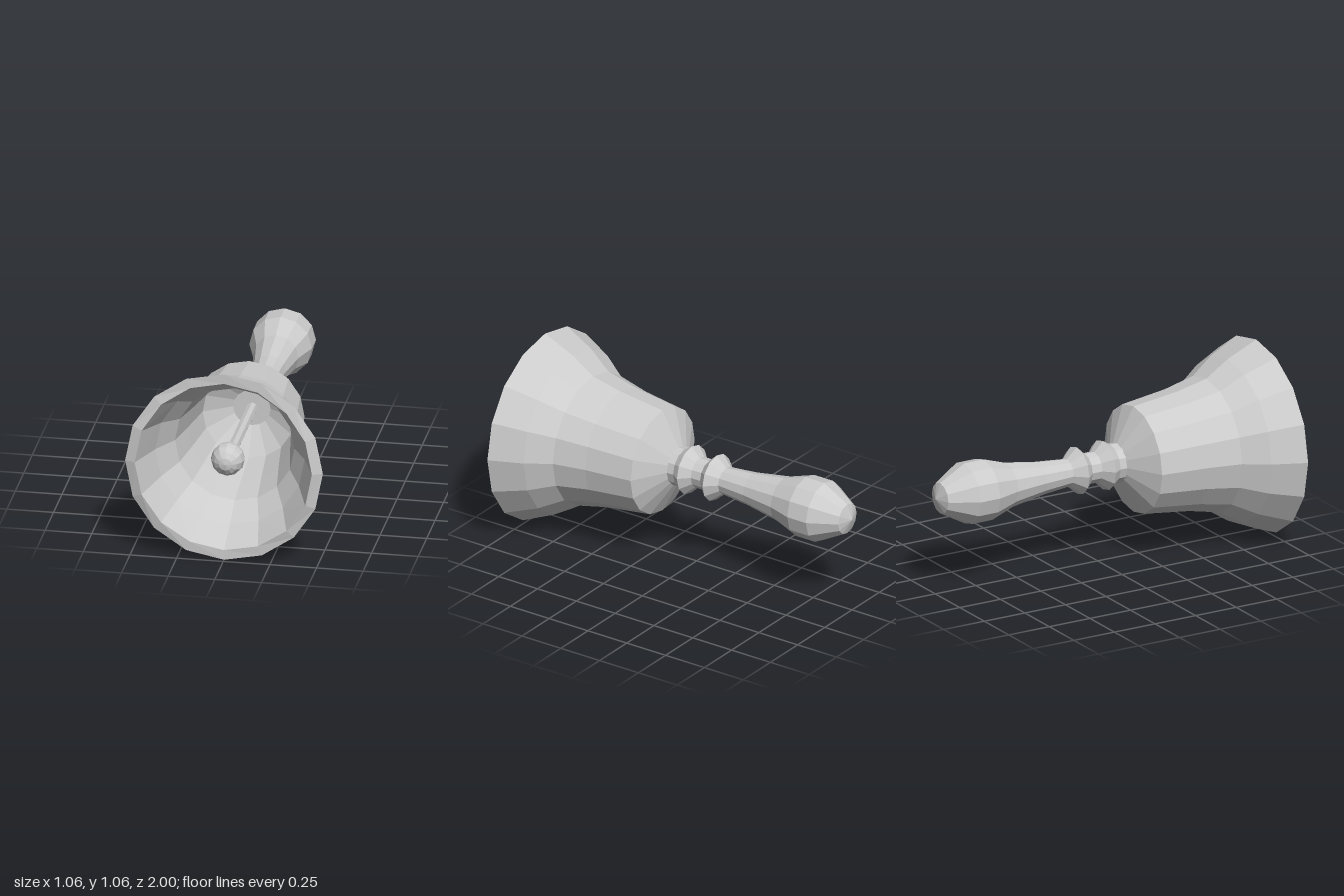
import * as THREE from 'three';

const material = new THREE.MeshStandardMaterial({ color: 0xcccccc, flatShading: true });

// Turned part along z, from [radius, z] pairs running back to front
function turned(name, profile, sides) {
  const points = profile.map(([r, z]) => new THREE.Vector2(r, z));
  const geometry = new THREE.LatheGeometry(points, sides).rotateX(Math.PI / 2);
  const mesh = new THREE.Mesh(geometry, material);
  mesh.name = name;
  return mesh;
}

export function createModel() {
  const bell = new THREE.Group();
  bell.name = 'handBell';
  bell.position.y = 0.53;

  // Flared shell: outer wall out to the lip, then back along the inner wall
  const innerLip = 0.475;
  const shell = turned('bellShell', [
    [0.1, 0.115], [0.295, 0.22], [0.328, 0.49], [0.367, 0.67], [0.452, 0.8], [0.53, 0.977],
    [innerLip, 0.976], [0.4, 0.8], [0.32, 0.66], [0.285, 0.48], [0.246, 0.25], [0.1, 0.15], [0, 0.15],
  ], 16);
  // The inner lip bulges slightly forward towards the left and right
  const pos = shell.geometry.attributes.position;
  for (let i = 0; i < pos.count; i++) {
    const x = pos.getX(i);
    if (Math.abs(Math.hypot(x, pos.getY(i)) - innerLip) < 0.001) {
      pos.setZ(i, pos.getZ(i) + 0.024 * (x / innerLip) ** 2);
    }
  }
  bell.add(shell);

  // Neck with two pointed collars
  bell.add(turned('collars', [
    [0.075, -0.19], [0.13, -0.128], [0.084, -0.08], [0.084, -0.02],
    [0.136, 0.033], [0.107, 0.078], [0.107, 0.13],
  ], 12));

  // Swelling grip with a blunt end
  bell.add(turned('handle', [
    [0, -1], [0.085, -0.97], [0.168, -0.82], [0.168, -0.7], [0.122, -0.56],
    [0.09, -0.36], [0.074, -0.185],
  ], 12));

  // Clapper: rod and ball
  bell.add(turned('clapperRod', [[0.03, 0.12], [0.03, 0.82]], 8));
  const ball = new THREE.Mesh(new THREE.SphereGeometry(0.09, 12, 8).rotateX(Math.PI / 2), material);
  ball.name = 'clapperBall';
  ball.position.z = 0.86;
  bell.add(ball);

  const model = new THREE.Group();
  model.add(bell);
  return model;
}
